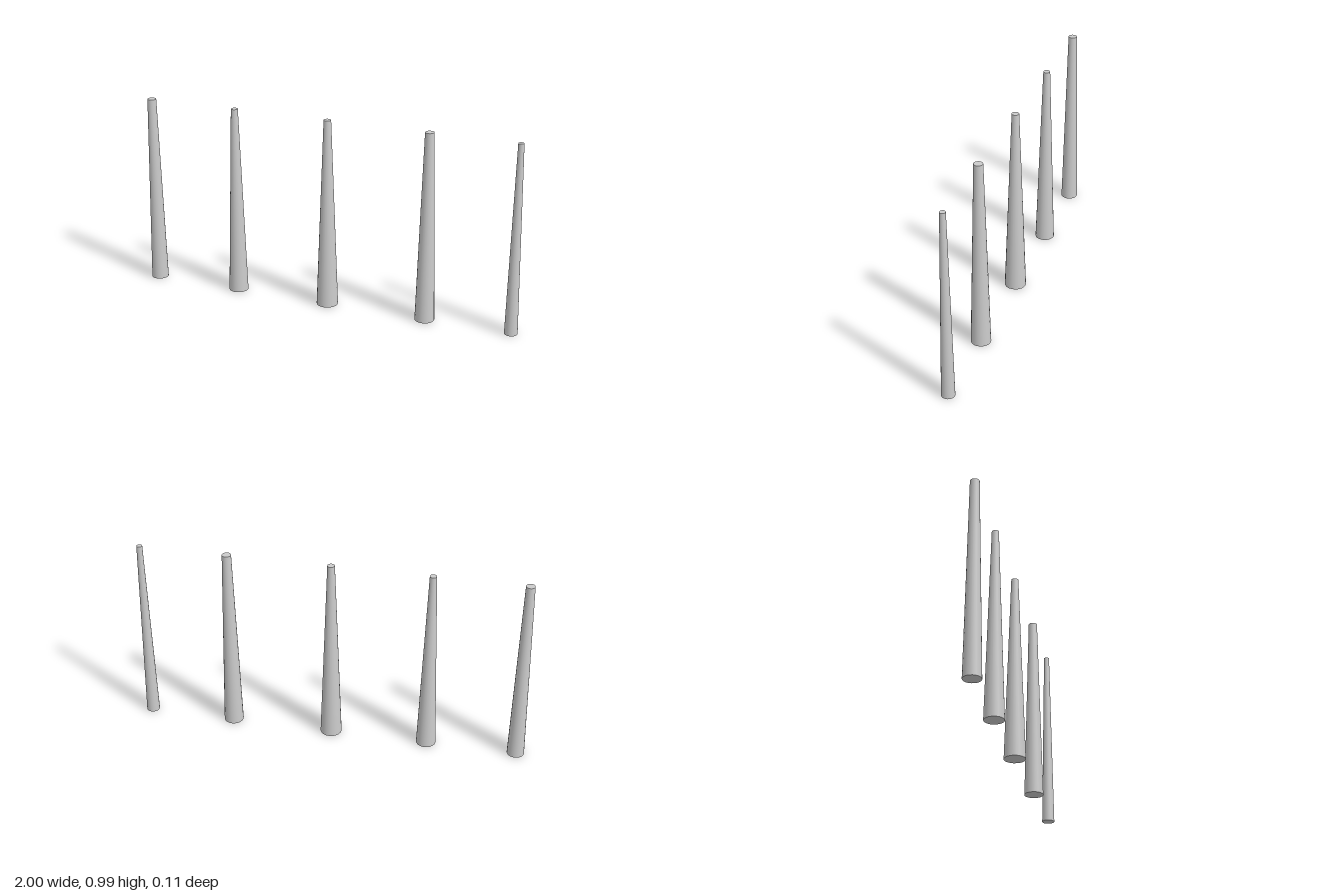
import * as THREE from 'three';

const HEIGHT = 0.99;

// Each column: name, centre x, base radius, top radius
const COLUMNS = [
  ['farRightColumn', -0.956, 0.044, 0.0225],
  ['rightColumn', -0.495, 0.05, 0.0175],
  ['centreColumn', 0.002, 0.055, 0.0185],
  ['leftColumn', 0.523, 0.05, 0.0228],
  ['farLeftColumn', 0.9665, 0.0335, 0.0145],
];

export function createModel() {
  const model = new THREE.Group();
  model.name = 'taperedColumns';
  const material = new THREE.MeshStandardMaterial({ color: 0xcccccc });

  // Row of smooth, capped, tapering columns of equal height
  for (const [name, x, base, top] of COLUMNS) {
    const column = new THREE.Mesh(new THREE.CylinderGeometry(top, base, HEIGHT, 20), material);
    column.name = name;
    column.position.set(x, HEIGHT / 2, 0);
    model.add(column);
  }
  return model;
}
